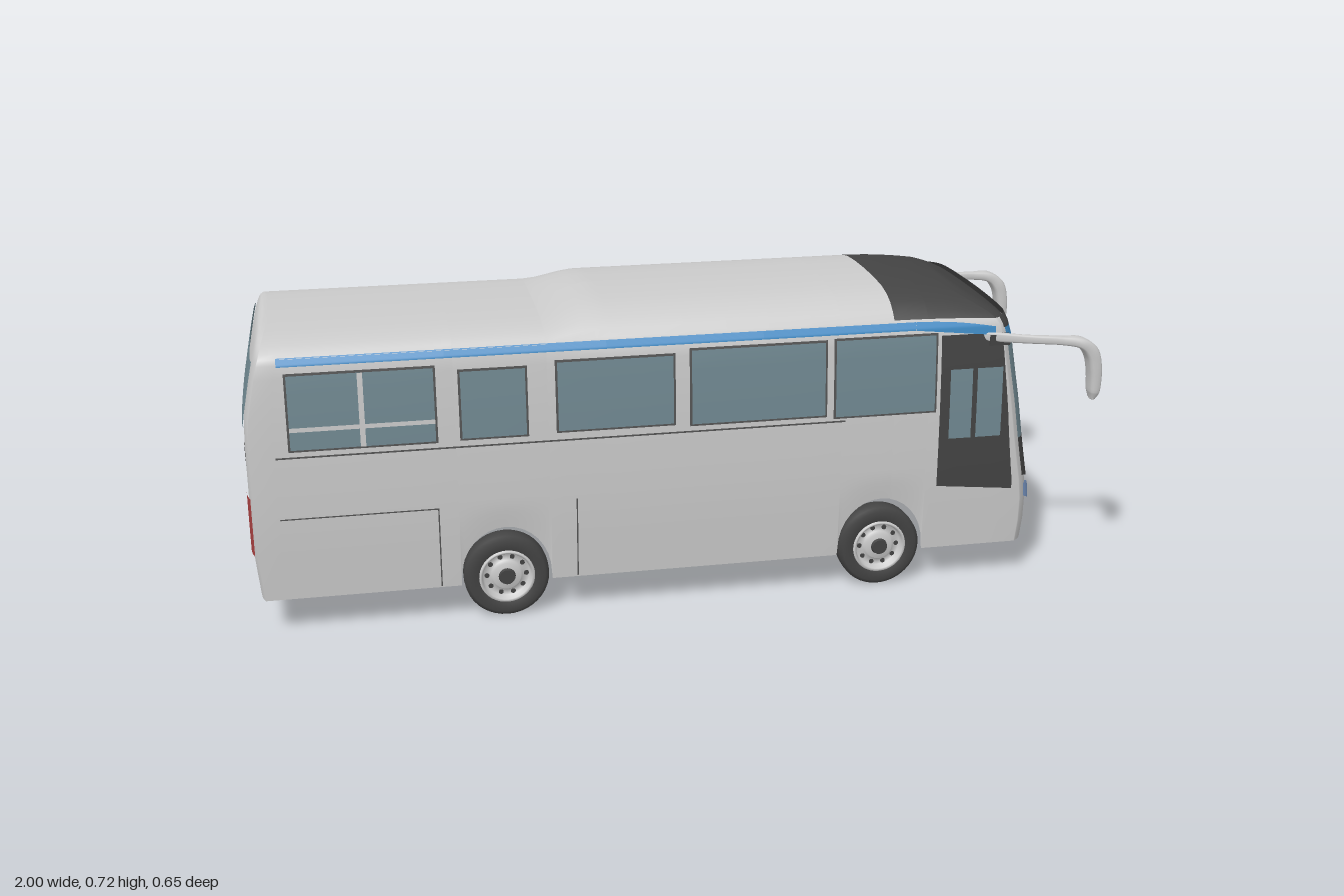
import * as THREE from 'three';

const mat = (color) => new THREE.MeshStandardMaterial({ color, side: THREE.DoubleSide });
const GREY = mat(0xcccccc), DARK = mat(0x444444), GLASS = mat(0x718992), BLUE = mat(0x3d8ac4);
const LAMP = mat(0x7d9ccb), RED = mat(0xa84040), BLACK = mat(0x222222), SEAM = mat(0x555555);
const { lerp, smoothstep, clamp } = THREE.MathUtils;

// Body levels: height, half width, rear x, front x
const LEVELS = [
  [0.086, 0.28, -0.99, 0.865], [0.14, 0.282, -0.995, 0.87], [0.2, 0.284, -1, 0.87], [0.25, 0.285, -1, 0.864],
  [0.3, 0.285, -1, 0.855], [0.36, 0.284, -1, 0.845], [0.45, 0.281, -1, 0.832], [0.52, 0.277, -0.996, 0.82],
  [0.61, 0.27, -0.978, 0.806], [0.64, 0.264, -0.971, 0.798], [0.66, 0.252, -0.967, 0.79], [0.677, 0.238, -0.964, 0.777],
  [0.695, 0.214, -0.96, 0.75], [0.707, 0.186, -0.956, 0.725], [0.716, 0.143, -0.952, 0.705],
  [0.721, 0.075, -0.946, 0.692], [0.722, 0.002, -0.94, 0.685],
];
const BASE = LEVELS[0][0], AXLES = [0.478, -0.425];

function level(y) {
  let i = 0;
  while (i < LEVELS.length - 2 && LEVELS[i + 1][0] < y) i++;
  const a = LEVELS[i], b = LEVELS[i + 1], t = (y - a[0]) / (b[0] - a[0]);
  return a.map((v, k) => lerp(v, b[k], t));
}
const frontX = (xf, s) => xf - 0.012 * s * s - 0.03 * s ** 14;
const rearX = (xr, s) => xr + 0.004 * s * s + 0.01 * s ** 14;

// Lower edge of the side, rising over the wheels
function sill(x) {
  for (const c of AXLES) {
    const d = Math.abs(x - c) / 0.105;
    if (d <= 1.0001) return 0.105 + 0.12 * Math.sqrt(Math.max(0, 1 - d * d));
  }
  return BASE;
}

function makeShell(group) {
  const core = [0.6, 0.5, 0.3, 0.2, 0.1, 0, -0.1, -0.17, -0.2, -0.23, -0.26, -0.29, -0.6, -0.7, -0.8, -0.88];
  for (const c of AXLES) {
    for (let k = -8; k <= 8; k++) core.push(c + 0.105 * Math.sin(k * Math.PI / 16));
    core.push(c - 0.1065, c + 0.1065);
  }
  core.sort((a, b) => b - a);
  const pos = [], N = 24;
  const sins = Array.from({ length: N + 1 }, (_, i) => Math.sin((i / N - 0.5) * Math.PI));
  let count = 0;
  for (const [y, w, xr, xf] of LEVELS) {
    const ring = [], xe = xf - 0.042, xb = xr + 0.014;
    const xs = [lerp(xe, 0.6, 0.33), lerp(xe, 0.6, 0.66), ...core, lerp(-0.88, xb, 0.5)];
    sins.forEach((s) => ring.push([frontX(xf, s), w * s, false]));
    xs.forEach((x) => ring.push([x, w, true]));
    sins.forEach((s) => ring.push([rearX(xr, s), -w * s, false]));
    [...xs].reverse().forEach((x) => ring.push([x, -w, true]));
    for (const [x, z, side] of ring) {
      let h = y;
      if (side && y < 0.3) h = lerp(sill(x), 0.3, (y - BASE) / (0.3 - BASE));
      // Raised front roof with a drooping brow, squarer low rear roof
      const roof = Math.max(0, (y - 0.64) / 0.08), rear = 1 - smoothstep(x, -0.32, -0.19);
      h -= roof * (0.03 * rear + 0.02 * Math.max(0, (x - 0.5) / 0.2) ** 2);
      pos.push(x, h, z * (1 + 0.12 * roof * rear));
    }
    count = ring.length;
  }
  const main = [], cap = [];
  for (let r = 0; r < LEVELS.length - 1; r++) for (let j = 0; j < count; j++) {
    const k = (j + 1) % count, a = r * count + j, b = r * count + k, c = a + count, d = b + count;
    const isCap = r >= 10 && Math.min(pos[a * 3], pos[b * 3]) > 0.499;
    (isCap ? cap : main).push(a, c, b, b, c, d);
  }
  // Close the narrow slot along the ridge
  const top = (LEVELS.length - 1) * count, half = count / 2;
  for (let j = 0; j < half - 1; j++) {
    const a = top + N / 2 + j, b = a + 1;
    const c = top + (N / 2 - j + count) % count, d = top + (N / 2 - j - 1 + count) % count;
    (Math.min(pos[a * 3], pos[b * 3]) > 0.499 ? cap : main).push(a, c, b, b, c, d);
  }
  const base = new THREE.BufferGeometry();
  base.setAttribute('position', new THREE.Float32BufferAttribute(pos, 3));
  base.setIndex([...main, ...cap]);
  base.computeVertexNormals();
  for (const [name, index, m] of [['bodyShell', main, GREY], ['roofCap', cap, DARK]]) {
    const g = base.clone();
    g.setIndex(index);
    add(group, name, g, m);
  }
}

function add(group, name, geometry, material) {
  const mesh = new THREE.Mesh(geometry, material);
  mesh.name = name;
  group.add(mesh);
}

// Surface patch from a rule f(a, b) on the unit square
function patch(group, name, material, f, nu = 4, nv = 8) {
  const g = new THREE.PlaneGeometry(1, 1, nu, nv), p = g.attributes.position;
  for (let i = 0; i < p.count; i++) p.setXYZ(i, ...f(clamp(p.getX(i) + 0.5, 0, 1), clamp(p.getY(i) + 0.5, 0, 1)));
  g.computeVertexNormals();
  add(group, name, g, material);
}

// Side panel; the front edge may be a function of height
function sidePanel(group, name, material, sign, x0, x1, y0, y1, off = 0.003) {
  patch(group, name, material, (a, b) => {
    const y = lerp(y0, y1, b), end = typeof x1 === 'function' ? x1(y) : x1;
    return [lerp(x0, end, a), y, sign * (level(y)[1] + off)];
  });
}

// End panel between two z limits; heights may be functions of z
function endPanel(group, name, material, end, z0, z1, y0, y1, off = 0.004) {
  const val = (v, z) => (typeof v === 'function' ? v(z) : v);
  const t0 = Math.asin(z0 / 0.285), t1 = Math.asin(z1 / 0.285);
  patch(group, name, material, (a, b) => {
    const s = Math.sin(lerp(t0, t1, a)), z = s * 0.285;
    const y = lerp(val(y0, z), val(y1, z), b), [, w, xr, xf] = level(y);
    return [end > 0 ? frontX(xf, s) + off : rearX(xr, s) - off, y, s * (w + 0.002)];
  }, 28, 10);
}

function makeWheel(x, sign) {
  const wheel = new THREE.Group();
  wheel.name = 'wheel';
  const lathe = (pts, k = 1) => new THREE.LatheGeometry(pts.map(([r, h]) => new THREE.Vector2(r, h * k)), 40);
  add(wheel, 'tyre', lathe([[0.062, -0.024], [0.09, -0.026], [0.099, -0.02], [0.1, 0],
    [0.099, 0.02], [0.09, 0.026], [0.066, 0.026], [0.061, 0.018]]), DARK);
  const rim = [[0.066, 0.024], [0.063, 0.03], [0.058, 0.028], [0.054, 0.01], [0.036, 0.014],
    [0.032, 0.024], [0.002, 0.024]];
  add(wheel, 'outerRim', lathe(rim), GREY);
  add(wheel, 'innerRim', lathe(rim, -0.8), GREY);
  add(wheel, 'hub', new THREE.CylinderGeometry(0.018, 0.021, 0.01, 20).translate(0, 0.026, 0), DARK);
  for (let i = 0; i < 10; i++) {
    const a = i * Math.PI / 5;
    add(wheel, 'rimHole', new THREE.CylinderGeometry(0.006, 0.006, 0.026, 10)
      .translate(0.046 * Math.cos(a), 0, 0.046 * Math.sin(a)), DARK);
  }
  wheel.rotation.x = sign * Math.PI / 2;
  wheel.position.set(x, 0.1, sign * 0.255);
  return wheel;
}

// Mirror arm and head: rounded sections swept along a drooping path
function makeMirror(sign) {
  const path = [
    [0.70, 0.615, 0.262, 0.012, 0.006], [0.82, 0.606, 0.285, 0.010, 0.008], [0.90, 0.602, 0.298, 0.010, 0.012],
    [0.945, 0.596, 0.303, 0.013, 0.021], [0.972, 0.573, 0.303, 0.017, 0.023], [0.984, 0.53, 0.303, 0.016, 0.023],
    [0.986, 0.475, 0.303, 0.013, 0.021], [0.984, 0.457, 0.303, 0.006, 0.014]];
  const centre = new THREE.CatmullRomCurve3(path.map((p) => new THREE.Vector3(p[0], p[1], p[2] * sign)));
  const soft = (v) => Math.sign(v) * Math.abs(v) ** 0.6;
  const group = new THREE.Group();
  group.name = 'mirror';
  patch(group, 'mirrorArmAndHead', GREY, (s, t) => {
    const a = s * Math.PI * 2, f = Math.min(t * 7, 6.9999), k = Math.floor(f);
    const thick = lerp(path[k][3], path[k + 1][3], f - k), wide = lerp(path[k][4], path[k + 1][4], f - k);
    const c = centre.getPoint(t), d = centre.getTangent(t), n = Math.hypot(d.x, d.y);
    const u = soft(Math.cos(a)) * thick, q = soft(Math.sin(a)) * wide;
    return [c.x - d.y / n * u, c.y + d.x / n * u, c.z + q];
  }, 16, 36);
  add(group, 'mirrorTip', new THREE.SphereGeometry(1, 12, 8).scale(0.006, 0.005, 0.014)
    .translate(0.984, 0.457, 0.303 * sign), GREY);
  add(group, 'mirrorBracket', new THREE.BoxGeometry(0.05, 0.026, 0.014).translate(0.755, 0.605, 0.27 * sign), DARK);
  return group;
}

export function createModel() {
  const bus = new THREE.Group();
  bus.name = 'bus';
  makeShell(bus);
  add(bus, 'floor', new THREE.BoxGeometry(1.76, 0.008, 0.55).translate(-0.1, 0.425, 0), BLACK);

  const windows = [[-0.896, -0.575, 0.448, 0.617], [-0.516, -0.37, 0.45, 0.605], [-0.297, -0.03, 0.453, 0.613],
    [0.013, 0.33, 0.448, 0.622], [0.356, 0.598, 0.442, 0.624]];
  for (const s of [1, -1]) {
    // Side windows with dark seals
    for (const [x0, x1, y0, y1] of windows) {
      sidePanel(bus, 'windowSeal', SEAM, s, x0 - 0.005, x1 + 0.005, y0 - 0.005, y1 + 0.005, 0.002);
      sidePanel(bus, 'sideWindow', GLASS, s, x0, x1, y0, y1, 0.004);
    }
    sidePanel(bus, 'windowBar', GREY, s, -0.896, -0.575, 0.49, 0.5, 0.006);
    sidePanel(bus, 'windowBar', GREY, s, -0.742, -0.73, 0.448, 0.617, 0.006);
    // Dark front door area, its foot sloping forward
    const edge = (y) => level(y)[3] - 0.042 - 0.05 * (0.62 - y);
    sidePanel(bus, 'doorPanel', DARK, s, 0.612, edge, 0.25, 0.622);
    patch(bus, 'doorFoot', DARK, (a, b) => [lerp(0.612, edge(0.25), a), 0.25 - 0.02 * a * (1 - b), s * 0.288]);
    for (const [x0, x1] of [[0.635, 0.69], [0.702, 0.765]])
      sidePanel(bus, 'doorWindow', GLASS, s, x0, x1, 0.37, 0.54, 0.006);
    // Blue band, sweeping down towards the windscreen
    sidePanel(bus, 'blueBand', BLUE, s, -0.915, 0.55, 0.637, 0.655);
    patch(bus, 'blueBandFront', BLUE, (a, b) => {
      const y = lerp(0.637 - 0.02 * a, 0.655 - 0.018 * a * a, b);
      return [lerp(0.55, 0.745, a), y, s * (level(y)[1] + 0.004)];
    }, 8, 6);
    // Panel joints
    sidePanel(bus, 'waistJoint', SEAM, s, -0.93, 0.38, 0.428, 0.432, 0.002);
    sidePanel(bus, 'lowerJoint', SEAM, s, -0.93, -0.575, 0.283, 0.286, 0.002);
    for (const x of [-0.578, -0.26]) sidePanel(bus, 'hatchJoint', SEAM, s, x, x + 0.003, 0.09, 0.286, 0.002);
    // Headlamps and tail lamps
    const t = (z) => clamp((Math.abs(z) - 0.15) / 0.131, 0, 1);
    endPanel(bus, 'headlamp', LAMP, 1, s * 0.15, s * 0.281, (z) => 0.172 + 0.032 * t(z) ** 2.5,
      (z) => 0.175 + 0.064 * t(z) ** 0.55, 0.006);
    endPanel(bus, 'tailLamp', RED, -1, s * 0.24, s * 0.282, 0.2, 0.34);
    bus.add(makeMirror(s));
    for (const x of AXLES) bus.add(makeWheel(x, s));
  }

  // Front face
  endPanel(bus, 'frontMask', DARK, 1, -0.28, 0.28,
    (z) => 0.2 + 0.06 * Math.max(0, (Math.abs(z) - 0.13) / 0.15), 0.357);
  endPanel(bus, 'windscreen', GLASS, 1, -0.28, 0.28, 0.357, 0.61);
  endPanel(bus, 'windscreenBand', BLUE, 1, -0.28, 0.28, 0.61, 0.632);
  endPanel(bus, 'brow', DARK, 1, -0.282, 0.282, 0.632, 0.66);
  endPanel(bus, 'maskJoint', BLACK, 1, -0.19, 0.19, 0.245, 0.248, 0.006);
  endPanel(bus, 'lowerGrille', DARK, 1, -0.163, 0.163, 0.087,
    (z) => 0.087 + 0.031 * Math.min(1, (0.1631 - Math.abs(z)) / 0.025));

  // Rear face
  endPanel(bus, 'rearWindow', GLASS, -1, -0.262, 0.262, 0.5, 0.645);
  endPanel(bus, 'brakeStrip', RED, -1, -0.2, 0.2, 0.464, 0.475);
  for (let i = 0; i < 6; i++) endPanel(bus, 'rearVent', SEAM, -1, -0.13, 0.13, 0.345 + i * 0.013, 0.35 + i * 0.013);
  endPanel(bus, 'engineHatchJoint', SEAM, -1, -0.21, 0.21, 0.197, 0.2);
  return bus;
}
